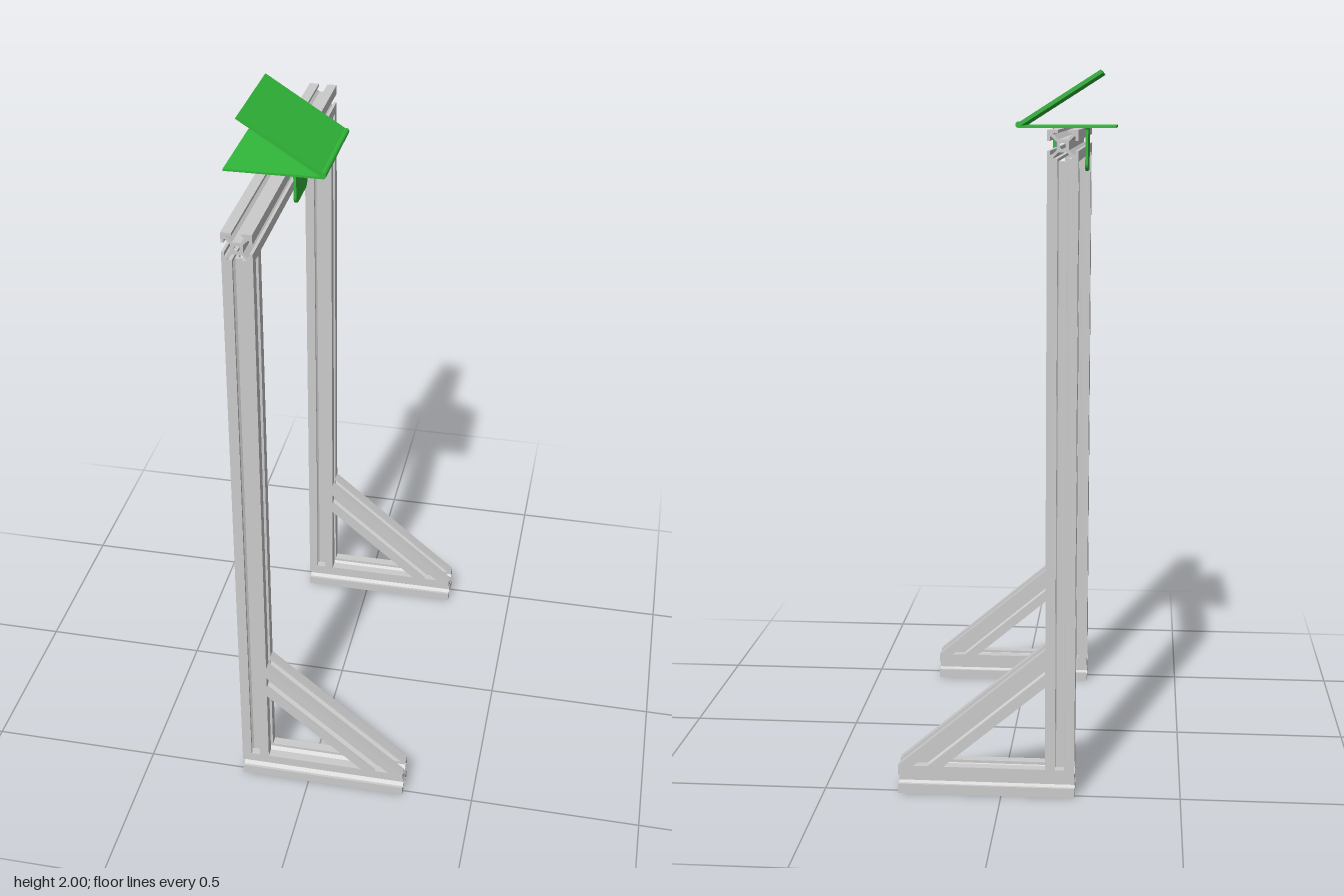
import * as THREE from 'three';

const H = 0.041;          // half width of the slotted bar
const BAR_X = -0.164;     // centre line of uprights and top beam
const SIDE_Z = 0.477;     // centre line of each side frame
const BRACE_Y = 0.376;    // where the brace axis meets the upright
const X_FACE = BAR_X + H; // front face of the upright

const metal = new THREE.MeshStandardMaterial({ color: 0xcccccc });
const green = new THREE.MeshStandardMaterial({ color: 0x32b83a });

// T-slot cross-section: one quarter outline turned four times, with a centre bore
function slotProfile() {
  const quarter = [
    [0.011, 0.0165], [0.024, 0.0295], [0.024, 0.033], [0.013, 0.033], [0.013, H],
    [H, H], [H, 0.013], [0.033, 0.013], [0.033, 0.024], [0.0295, 0.024], [0.0165, 0.011],
  ];
  const pts = [];
  for (let i = 0; i < 4; i++) {
    const a = -i * Math.PI / 2, c = Math.round(Math.cos(a)), s = Math.round(Math.sin(a));
    for (const [x, y] of quarter) pts.push(new THREE.Vector2(x * c - y * s, x * s + y * c));
  }
  const shape = new THREE.Shape(pts);
  shape.holes.push(new THREE.Path().absarc(0, 0, 0.008, 0, Math.PI * 2, true));
  return shape;
}

const bar = (length) => new THREE.ExtrudeGeometry(slotProfile(),
  { depth: length, bevelEnabled: false, curveSegments: 6 });

function add(parent, name, geometry, material) {
  const mesh = new THREE.Mesh(geometry, material);
  mesh.name = name;
  parent.add(mesh);
  return mesh;
}

// Diagonal brace: each end vertex slides along the axis to meet the upright or the foot
function braceGeometry() {
  const angle = Math.atan2(0.347, 0.412), c = Math.cos(angle), s = Math.sin(angle);
  const g = bar(1), p = g.attributes.position;
  for (let i = 0; i < p.count; i++) {
    const u = p.getX(i), v = p.getY(i);
    const t = p.getZ(i) < 0.5 ? -v * s / c : (BRACE_Y + v * c - 2 * H) / s;
    p.setXYZ(i, X_FACE + v * s + t * c, BRACE_Y + v * c - t * s, -u);
  }
  g.computeVertexNormals();
  return g;
}

function sideFrame(name, z) {
  const side = new THREE.Group();
  side.name = name;
  side.position.z = z;
  const foot = add(side, 'foot', bar(0.495), metal);
  foot.rotation.y = Math.PI / 2;
  foot.position.set(BAR_X - H, H, 0);
  const upright = add(side, 'upright', bar(1.757 - 2 * H), metal);
  upright.rotation.x = -Math.PI / 2;
  upright.position.set(BAR_X, 2 * H, 0);
  add(side, 'brace', braceGeometry(), metal);
  return side;
}

// Clamp cheek: flat tab with rounded lower corners and small flares at the top
function cheekGeometry() {
  const w = 0.07, r = 0.022, top = 1.84, low = 1.715, f = 0.01;
  const s = new THREE.Shape();
  s.moveTo(-w - f, top);
  s.quadraticCurveTo(-w, top, -w, top - f);
  s.lineTo(-w, low + r);
  s.absarc(-w + r, low + r, r, Math.PI, Math.PI * 1.5, false);
  s.absarc(w - r, low + r, r, Math.PI * 1.5, Math.PI * 2, false);
  s.lineTo(w, top - f);
  s.quadraticCurveTo(w, top, w + f, top);
  const g = new THREE.ExtrudeGeometry(s, { depth: 0.008, bevelEnabled: false, curveSegments: 8 });
  g.translate(0, 0, -0.004);
  return g.rotateY(Math.PI / 2);
}

function holder() {
  const group = new THREE.Group();
  group.name = 'holder';
  const depth = 0.314;

  // Base plate resting on the beam
  add(group, 'basePlate', new THREE.BoxGeometry(0.275, 0.006, depth), green)
    .position.set(-0.1575, 1.842, 0);

  // Cheeks on both sides of the beam
  for (const d of [-1, 1]) {
    add(group, d < 0 ? 'rearCheek' : 'frontCheek', cheekGeometry(), green)
      .position.x = BAR_X + d * (H + 0.005);
  }

  // Tilted plate and the rounded hinge along its lower edge
  const from = new THREE.Vector2(-0.021, 1.848), to = new THREE.Vector2(-0.253, 1.995);
  const tilted = add(group, 'tiltedPlate',
    new THREE.BoxGeometry(from.distanceTo(to), 0.011, depth), green);
  tilted.position.set((from.x + to.x) / 2, (from.y + to.y) / 2, 0);
  tilted.rotation.z = Math.atan2(to.y - from.y, to.x - from.x);
  const hinge = add(group, 'hinge', new THREE.CylinderGeometry(0.009, 0.009, depth, 16), green);
  hinge.rotation.x = Math.PI / 2;
  hinge.position.set(-0.021, 1.848, 0);
  return group;
}

export function createModel() {
  const model = new THREE.Group();
  model.name = 'slottedFrameStand';
  model.add(sideFrame('leftSide', SIDE_Z), sideFrame('rightSide', -SIDE_Z));
  const beamLength = 2 * (SIDE_Z + H);
  add(model, 'topBeam', bar(beamLength), metal)
    .position.set(BAR_X, 1.757 + H, -beamLength / 2);
  model.add(holder());
  return model;
}
